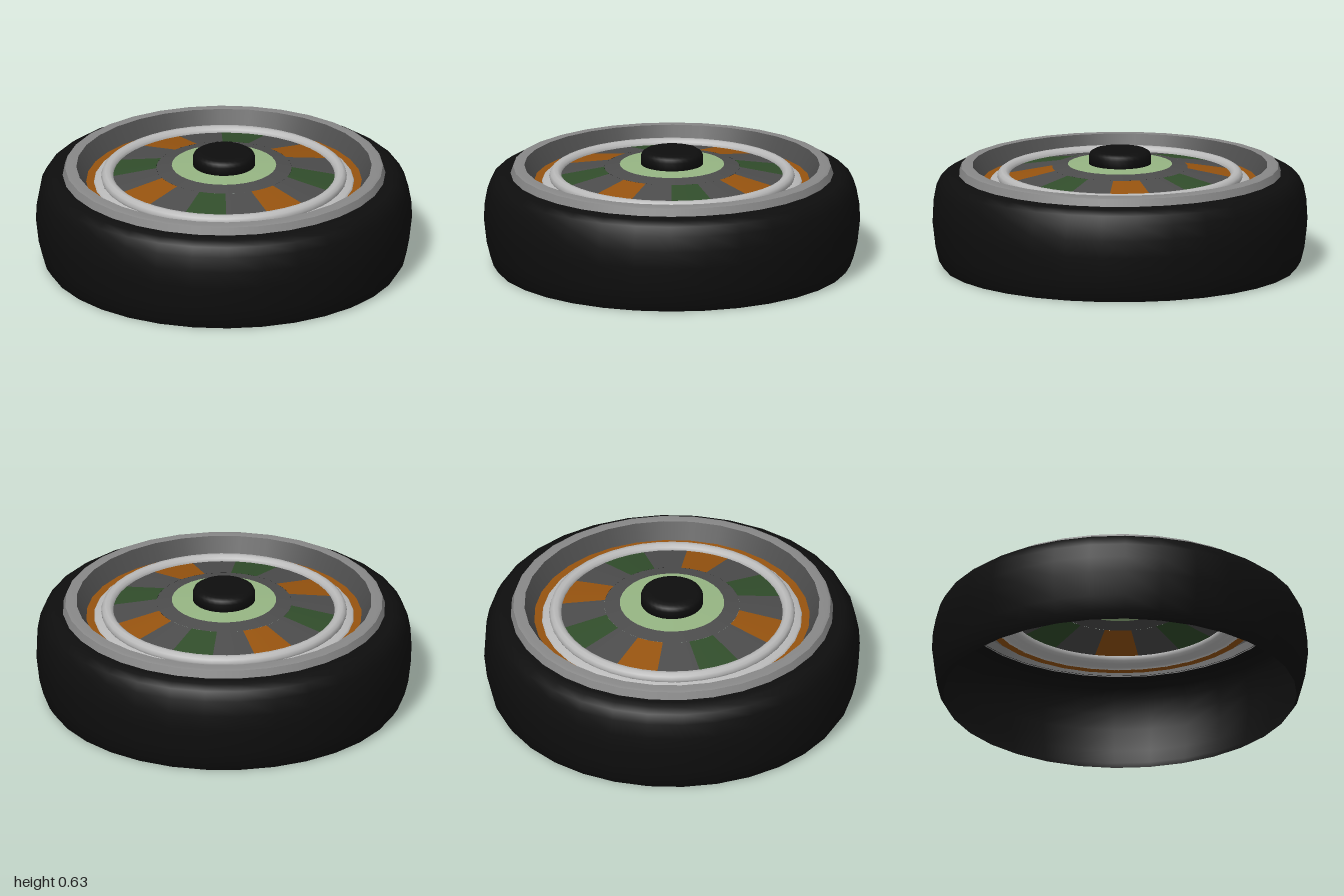
import * as THREE from 'three';

const SIDES = 32;

function makeMaterial(name, color) {
  const m = new THREE.MeshStandardMaterial({ color, side: THREE.DoubleSide });
  m.name = name;
  return m;
}

export function createModel() {
  const group = new THREE.Group();
  const black = makeMaterial('black rubber', 0x0e0e0e);
  const grey = makeMaterial('mid grey', 0x888888);
  const dark = makeMaterial('dark grey', 0x4c4c4c);
  const orange = makeMaterial('burnt orange', 0x96530f);
  const white = makeMaterial('pale metal', 0xbababa);
  const green = makeMaterial('forest green', 0x314d2b);
  const lime = makeMaterial('pale green', 0x96b583);

  // Turned shell; profile points are [radius, height]
  function turn(name, material, points, start = 0, length = Math.PI * 2, sides = SIDES) {
    const profile = points.map(([r, y]) => new THREE.Vector2(r, y));
    const mesh = new THREE.Mesh(new THREE.LatheGeometry(profile, sides, start, length), material);
    mesh.name = name;
    group.add(mesh);
    return mesh;
  }

  // Open-bottomed tyre shell
  turn('tyre', black, [
    [0.94, 0], [0.965, 0.04], [0.985, 0.12], [1, 0.25], [0.995, 0.34],
    [0.98, 0.42], [0.955, 0.47], [0.92, 0.495], [0.88, 0.5], [0.855, 0.5],
  ]);

  // Rim: outer bevel, flat lip and inner wall
  turn('rimBevel', grey, [[0.86, 0.495], [0.845, 0.54]]);
  turn('rimLip', grey, [[0.845, 0.54], [0.83, 0.546], [0.785, 0.546]]);
  turn('rimWall', dark, [[0.785, 0.546], [0.733, 0.46]]);

  // Coloured trim between rim and hub
  turn('trimRing', orange, [[0.735, 0.46], [0.69, 0.457]]);
  turn('collar', white, [[0.692, 0.457], [0.685, 0.468], [0.65, 0.475]]);

  // Rounded hub ring
  const ring = new THREE.Mesh(new THREE.TorusGeometry(0.62, 0.033, 10, 48), white);
  ring.name = 'hubRing';
  ring.rotation.x = -Math.PI / 2;
  ring.position.y = 0.487;
  group.add(ring);

  // Shallow cone disc with alternating coloured sectors
  const slope = (r) => [r, 0.55 - (r - 0.28) * 0.19];
  turn('discInner', dark, [slope(0.36), slope(0.275)]);
  const step = Math.PI / 8;
  const sectorColours = [orange, dark, green, dark];
  for (let i = 0; i < 16; i++) {
    turn('discSector', sectorColours[i % 4], [slope(0.6), slope(0.36)], i * step, step, 3);
  }
  turn('centreRing', lime, [[0.278, 0.551], [0.16, 0.556]]);

  // Rounded centre cap, closed underneath
  turn('centreCap', black, [
    [0.0, 0.55], [0.166, 0.55], [0.166, 0.597], [0.158, 0.615],
    [0.14, 0.626], [0.115, 0.63], [0, 0.63],
  ]);

  return group;
}
